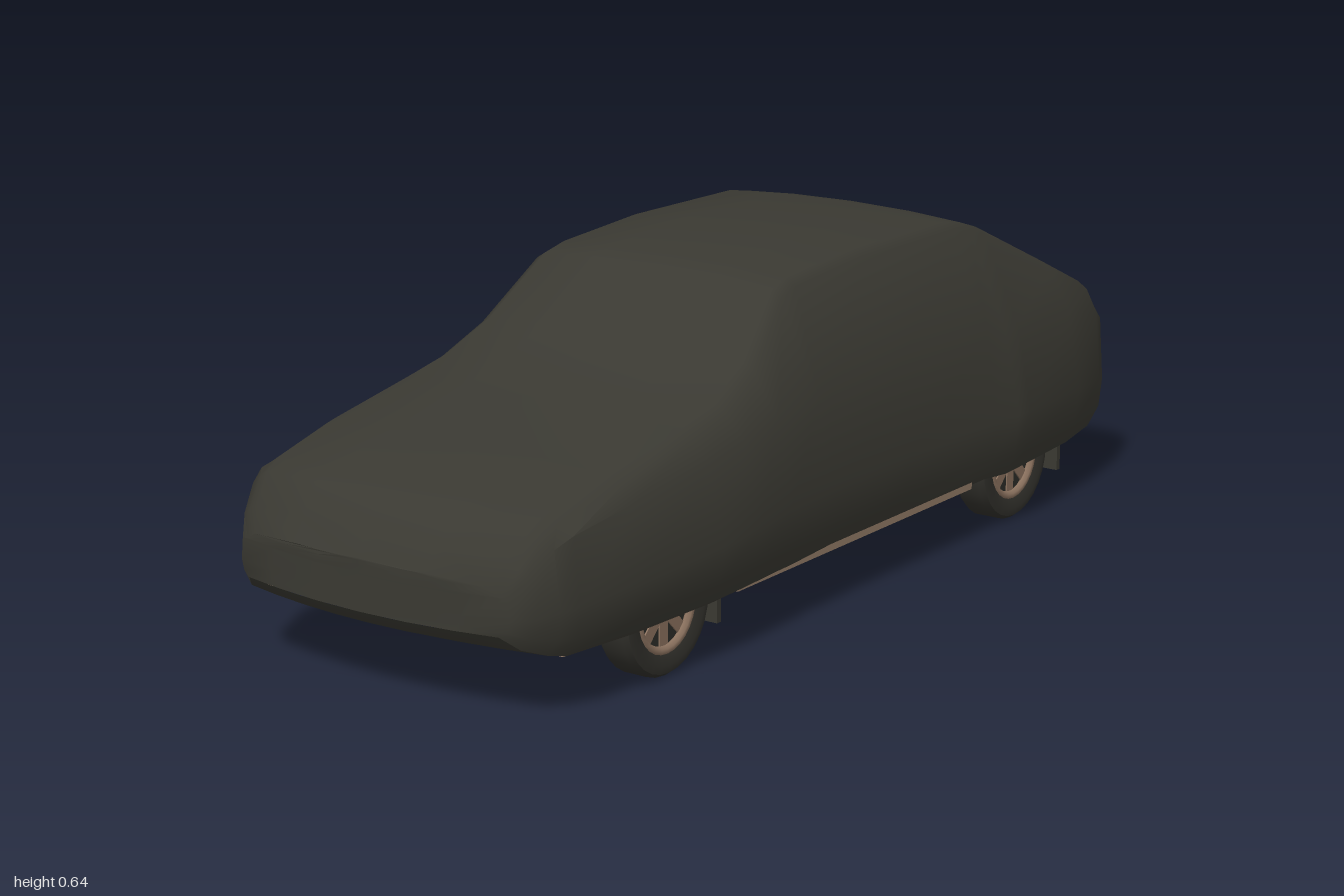
import * as THREE from 'three';
import { toCreasedNormals } from 'three/addons/utils/BufferGeometryUtils.js';

const mat = (name, color, side = THREE.FrontSide) => {
  const m = new THREE.MeshStandardMaterial({ color, side });
  m.name = name;
  return m;
};

// Surface through rows of points; every row has the same number of points
function loft(rows, crease) {
  const n = rows[0].length, index = [];
  for (let i = 0; i < rows.length - 1; i++) {
    for (let j = 0; j < n - 1; j++) {
      const a = i * n + j, c = a + n;
      index.push(a, a + 1, c, a + 1, c + 1, c);
    }
  }
  const geo = new THREE.BufferGeometry();
  geo.setAttribute('position', new THREE.Float32BufferAttribute(rows.flat(2), 3));
  geo.setIndex(index);
  return toCreasedNormals(geo, crease);
}

export function createModel() {
  const car = new THREE.Group();
  car.name = 'coveredCar';
  const cloth = mat('coverCloth', 0x3a3932, THREE.DoubleSide);
  const rubber = mat('tyreRubber', 0x31302b);
  const metal = mat('rimMetal', 0x8a715e);
  const paint = mat('bodyPaint', 0x927a66);
  const dark = mat('underbodyDark', 0x2c2c27);
  const steel = mat('chassisSteel', 0x3a3932);
  const rust = mat('exhaustRust', 0x6b4434);

  const add = (name, geo, material, x = 0, y = 0, z = 0, parent = car) => {
    const m = new THREE.Mesh(geo, material);
    m.name = name;
    m.position.set(x, y, z);
    parent.add(m);
    return m;
  };
  const box = (name, w, h, d, material, x, y, z) =>
    add(name, new THREE.BoxGeometry(w, h, d), material, x, y, z);
  const tube = (name, pts, r, material) => {
    const path = new THREE.CatmullRomCurve3(pts.map(p => new THREE.Vector3(...p)), false, 'catmullrom', 0.2);
    return add(name, new THREE.TubeGeometry(path, 32, r, 8), material);
  };

  // Cover: cross-sections from nose to tail
  // z, hem y, belt half-width, shoulder half-width, shoulder y, top half-width, top y, bow
  const stations = [
    [1.0, 0.165, 0.305, 0.3, 0.235, 0.285, 0.262, 0.05],
    [0.975, 0.138, 0.33, 0.322, 0.27, 0.305, 0.305, 0.05],
    [0.93, 0.12, 0.354, 0.342, 0.31, 0.318, 0.354, 0.045],
    [0.88, 0.112, 0.367, 0.355, 0.328, 0.325, 0.371, 0.03],
    [0.7, 0.11, 0.387, 0.366, 0.35, 0.338, 0.402, 0.01],
    [0.5, 0.112, 0.402, 0.37, 0.37, 0.336, 0.437, 0.02],
    [0.4, 0.113, 0.4, 0.37, 0.385, 0.33, 0.46, 0.03],
    [0.28, 0.113, 0.394, 0.368, 0.4, 0.315, 0.51, 0.02],
    [0.14, 0.113, 0.391, 0.366, 0.41, 0.286, 0.615, 0.015],
    [0.08, 0.113, 0.39, 0.366, 0.412, 0.281, 0.628, 0],
    [-0.15, 0.113, 0.39, 0.366, 0.412, 0.28, 0.64, 0],
    [-0.47, 0.113, 0.39, 0.364, 0.412, 0.28, 0.633, 0],
    [-0.53, 0.113, 0.405, 0.368, 0.41, 0.282, 0.622, 0],
    [-0.58, 0.113, 0.402, 0.367, 0.408, 0.286, 0.605, 0],
    [-0.8, 0.113, 0.384, 0.358, 0.388, 0.31, 0.497, 0],
    [-0.93, 0.115, 0.358, 0.346, 0.362, 0.322, 0.432, 0],
    [-0.965, 0.118, 0.345, 0.336, 0.34, 0.312, 0.4, 0],
    [-0.995, 0.125, 0.315, 0.308, 0.23, 0.292, 0.265, 0],
  ];
  const bowed = (x, y, [z, , , , , , , bow]) => [x, y, z - bow * (x / 0.35) ** 2];
  const section = (station, spread = 1) => {
    const [, yb, wb, ws, ys, wt, yt] = station;
    const half = [
      [wb * 0.93, yb],
      [wb * 0.98, yb + (ys - yb) * 0.15],
      [wb, yb + (ys - yb) * 0.42],
      [ws, ys],
      [wt, yt - 0.025],
      [wt - 0.022, yt - 0.011],
      [wt * 0.5, yt - 0.003],
    ];
    const ring = [...half.map(([x, y]) => [-x, y]), [0, yt], ...half.reverse()];
    return ring.map(([x, y]) => bowed(x * spread, y, station));
  };
  // The end faces are the end sections drawn in to the centre line
  const nose = stations[0], tail = stations.at(-1), inset = [0, 0.35, 0.7];
  add('carCover', loft([
    ...inset.map(k => section(nose, k)),
    ...stations.map(s => section(s)),
    ...inset.reverse().map(k => section(tail, k)),
  ], 0.75), cloth);

  // Cloth tucked under the nose
  const hemRow = s => [-1, -0.75, -0.5, -0.25, 0, 0.25, 0.5, 0.75, 1]
    .map(k => bowed(k * s[2] * 0.93, s[1], s));
  add('noseTuck', loft(stations.slice(0, 3).reverse().map(hemRow), 0.7), cloth);

  // Floor pan, narrowed at the wheels
  const outline = [[0.25, 0.9], [0.28, 0.74], [0.22, 0.7], [0.22, 0.44], [0.35, 0.42],
    [0.35, -0.44], [0.23, -0.46], [0.23, -0.74], [0.3, -0.77], [0.28, -0.94]];
  const pan = new THREE.Shape([...outline, ...outline.map(([x, z]) => [-x, z]).reverse()]
    .map(([x, z]) => new THREE.Vector2(x, z)));
  const panGeo = new THREE.ExtrudeGeometry(pan, { depth: 0.015, bevelEnabled: false });
  panGeo.rotateX(Math.PI / 2);
  add('floorPan', panGeo, dark, 0, 0.15, 0);

  // Curved lip below the nose
  const lipRow = (y, z) => [-0.3, -0.24, -0.12, 0, 0.12, 0.24, 0.3]
    .map(x => [x, y + 0.25 * Math.max(0, Math.abs(x) - 0.2), z - 0.5 * x * x]);
  add('frontLip', loft([lipRow(0.13, 0.8), lipRow(0.085, 0.82), lipRow(0.088, 0.85), lipRow(0.13, 0.92)], 0.4), dark);

  // Crossmembers, sump, tank and floor panels
  box('frontCrossmember', 0.46, 0.03, 0.06, steel, 0, 0.1, 0.45);
  box('engineSump', 0.16, 0.04, 0.2, dark, 0, 0.12, 0.64);
  box('rearCrossmember', 0.46, 0.025, 0.05, steel, 0, 0.12, -0.44);
  box('fuelTank', 0.26, 0.035, 0.17, dark, -0.12, 0.125, -0.84);
  for (const z of [0.22, -0.24]) box('rustPatch', 0.12, 0.006, 0.13, rust, -0.2, 0.131, z);

  // Exhaust with two silencers
  tube('exhaustPipe', [[0.09, 0.125, 0.66], [0.07, 0.115, 0.45], [-0.02, 0.115, 0.2], [-0.025, 0.115, 0],
    [-0.03, 0.12, -0.23], [0.14, 0.12, -0.46], [0.18, 0.14, -0.62], [0.18, 0.13, -0.95]], 0.012, rust);
  const silencer = (name, len, r, x, y, z) => {
    const g = new THREE.CylinderGeometry(r, r, len, 14).rotateX(Math.PI / 2).scale(1.2, 0.6, 1);
    add(name, g, rust, x, y, z);
  };
  silencer('middleSilencer', 0.19, 0.037, -0.025, 0.118, 0.06);
  silencer('rearSilencer', 0.28, 0.045, 0.18, 0.13, -0.78);

  // Mirrored sills, rails, arms and mud flaps
  for (const s of [-1, 1]) {
    box('paintedSill', 0.035, 0.014, 0.8, paint, s * 0.348, 0.113, -0.02);
    box('fenderEdge', 0.02, 0.014, 0.14, paint, s * 0.328, 0.118, 0.79);
    for (const z of [0.22, -0.24]) box('floorPanel', 0.2, 0.006, 0.36, steel, s * 0.2, 0.134, z);
    box('floorRail', 0.03, 0.02, 0.62, steel, s * 0.085, 0.127, 0.05);
    box('frontRail', 0.035, 0.03, 0.4, steel, s * 0.19, 0.125, 0.62);
    box('frontMudFlap', 0.12, 0.085, 0.012, steel, s * 0.295, 0.1, 0.425);
    box('rearMudFlap', 0.12, 0.08, 0.012, steel, s * 0.295, 0.1, -0.775);
    tube('frontArm', [[s * 0.12, 0.115, 0.48], [s * 0.2, 0.11, 0.54], [s * 0.3, 0.11, 0.58]], 0.012, steel);
    tube('trailingArm', [[s * 0.12, 0.125, -0.42], [s * 0.2, 0.115, -0.52], [s * 0.3, 0.12, -0.6]], 0.014, steel);
  }
  for (const z of [0.58, -0.6]) {
    add('axle', new THREE.CylinderGeometry(0.013, 0.013, 0.6, 10).rotateZ(Math.PI / 2), steel, 0, 0.125, z);
  }

  // Wheels: tyre, dark well, rim ring, spokes and hub
  const tyreGeo = new THREE.LatheGeometry([[0.084, -0.03], [0.105, -0.037], [0.12, -0.034], [0.127, -0.024],
    [0.127, 0.024], [0.12, 0.034], [0.105, 0.037], [0.084, 0.03], [0.084, -0.03]]
    .map(([r, y]) => new THREE.Vector2(r, y)), 28).rotateZ(-Math.PI / 2);
  const tyre = toCreasedNormals(tyreGeo, 0.7);
  const well = new THREE.CylinderGeometry(0.084, 0.084, 0.04, 24).rotateZ(Math.PI / 2);
  const ring = new THREE.TorusGeometry(0.08, 0.009, 6, 28).rotateY(Math.PI / 2);
  const hub = new THREE.CylinderGeometry(0.022, 0.026, 0.05, 12).rotateZ(Math.PI / 2);
  const spoke = new THREE.BoxGeometry(0.046, 0.06, 0.024).translate(0, 0.048, 0);
  for (const s of [-1, 1]) {
    for (const z of [0.58, -0.6]) {
      const wheel = new THREE.Group();
      wheel.name = z > 0 ? 'frontWheel' : 'rearWheel';
      wheel.position.set(s * 0.328 - 0.005, 0.127, z);
      car.add(wheel);
      add('tyre', tyre, rubber, 0, 0, 0, wheel);
      add('wheelWell', well, dark, 0, 0, 0, wheel);
      add('hub', hub, metal, 0, 0, 0, wheel);
      for (const x of [-0.024, 0.024]) add('rimRing', ring, metal, x, 0, 0, wheel);
      for (let k = 0; k < 8; k++) {
        add('spoke', spoke, metal, 0, 0, 0, wheel).rotation.x = k * Math.PI / 4;
      }
    }
  }
  return car;
}
